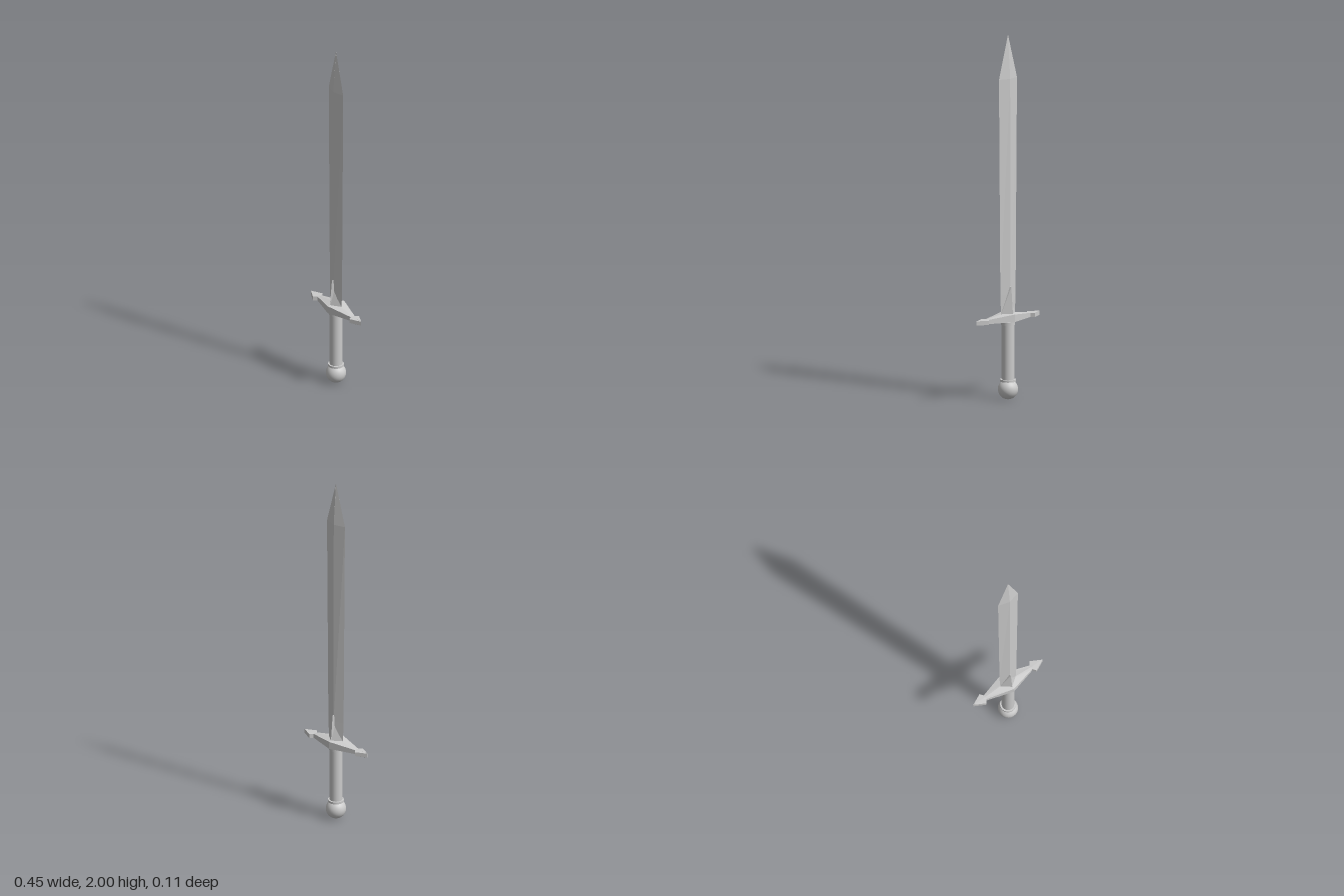
import * as THREE from 'three';

const flat = new THREE.MeshStandardMaterial({ color: 0xcccccc, flatShading: true, side: THREE.DoubleSide });
const smooth = new THREE.MeshStandardMaterial({ color: 0xcccccc });

// Joins equal-length rings of [x, y, z] points into a closed skin with capped ends
function loft(rings) {
  const n = rings[0].length, index = [];
  for (let r = 0; r < rings.length - 1; r++) {
    for (let i = 0; i < n; i++) {
      const a = r * n + i, b = r * n + (i + 1) % n;
      index.push(a, b, b + n, a, b + n, a + n);
    }
  }
  const last = (rings.length - 1) * n;
  for (let i = 1; i < n - 1; i++) index.push(0, i + 1, i, last, last + i, last + i + 1);
  const g = new THREE.BufferGeometry();
  g.setAttribute('position', new THREE.Float32BufferAttribute(rings.flat(2), 3));
  g.setIndex(index);
  g.computeVertexNormals();
  return g;
}

// Diamond cross-section at height y, half width w and half depth d
const diamond = ([y, w, d]) => [[w, y, 0], [0, y, -d], [-w, y, 0], [0, y, d]];

// Ridged cross-section of the guard: half depth d, side edges and centre ridges
const guardSection = ([x, d, top, ridge, bottom, keel]) => [
  [x, top, d], [x, ridge, 0], [x, top, -d], [x, bottom, -d], [x, keel, 0], [x, bottom, d],
].reverse();

export function createModel() {
  const sword = new THREE.Group();
  sword.name = 'sword';
  const add = (name, geometry, material) => {
    const mesh = new THREE.Mesh(geometry, material);
    mesh.name = name;
    sword.add(mesh);
  };

  // Blade widens gently up to the shoulders, then runs to a point
  add('blade', loft([[0.46, 0.05, 0.02], [0.58, 0.055, 0.02], [1.76, 0.065, 0.018], [2, 0.0005, 0.0005]].map(diamond)), flat);

  // Tapered reinforcement where the blade meets the guard
  add('bladeCollar', loft([[0.465, 0.052, 0.041], [0.62, 0.012, 0.027]].map(diamond)), flat);

  // Crossguard with arrow-shaped ends
  const half = [
    [0, 0.055, 0.472, 0.48, 0.43, 0.42],
    [0.15, 0.013, 0.456, 0.457, 0.433, 0.432],
    [0.165, 0.032, 0.456, 0.457, 0.433, 0.432],
    [0.227, 0.0005, 0.456, 0.457, 0.433, 0.432],
  ];
  const mirrored = half.slice(1).reverse().map(([x, ...rest]) => [-x, ...rest]);
  add('crossguard', loft([...mirrored, ...half].map(guardSection)), flat);

  // Round grip with a small ring at each end
  const grip = new THREE.CylinderGeometry(0.034, 0.034, 0.35, 24);
  grip.translate(0, 0.265, 0);
  add('grip', grip, smooth);
  for (const [name, y, r, h] of [['upperRing', 0.417, 0.038, 0.018], ['lowerRing', 0.104, 0.043, 0.012]]) {
    const ring = new THREE.CylinderGeometry(r, r, h, 24);
    ring.translate(0, y, 0);
    add(name, ring, smooth);
  }

  // Ball pommel
  const pommel = new THREE.SphereGeometry(0.055, 24, 16);
  pommel.translate(0, 0.055, 0);
  add('pommel', pommel, smooth);

  return sword;
}
